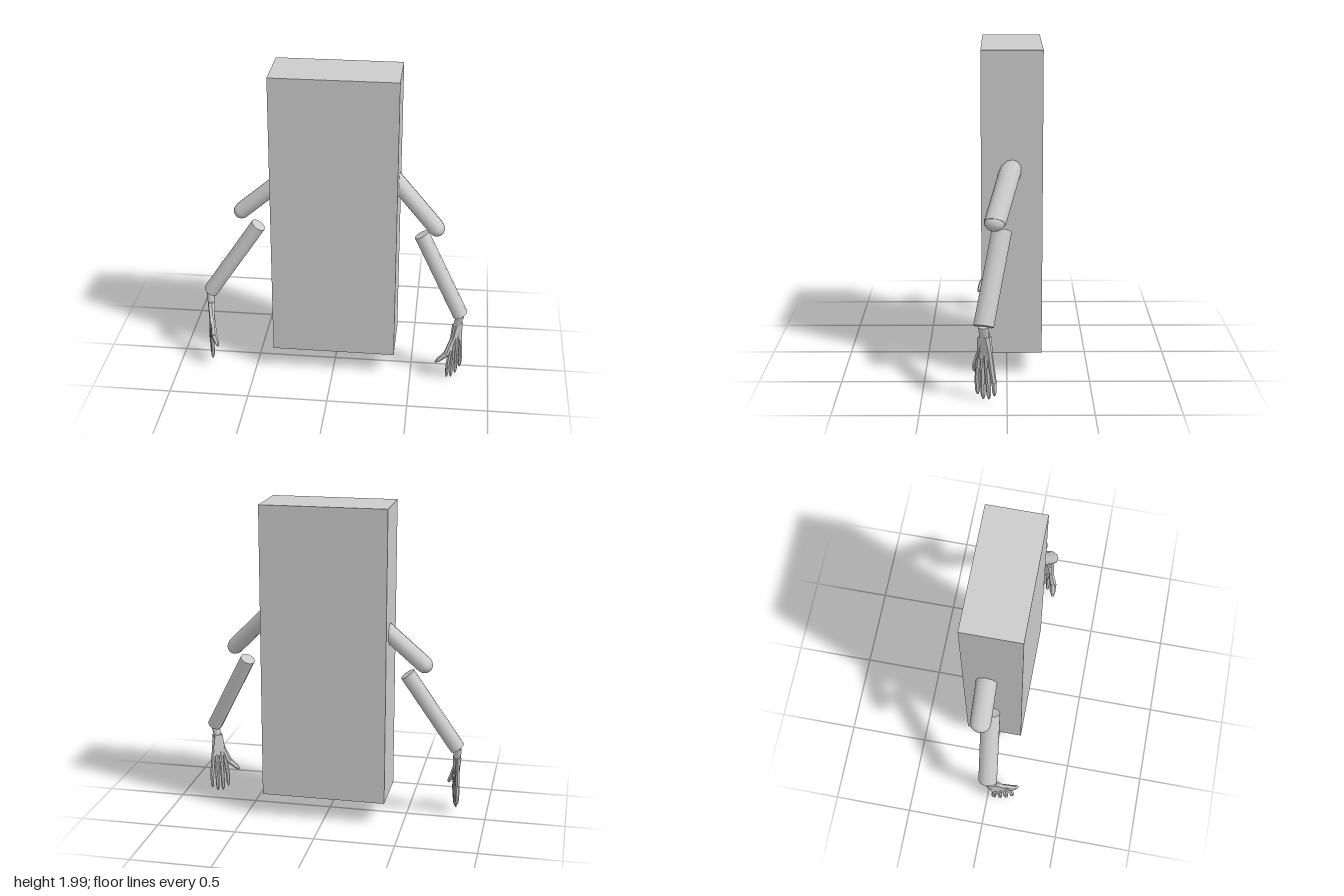
import * as THREE from 'three';
import { ConvexGeometry } from 'three/addons/geometries/ConvexGeometry.js';

const DEPTH = 1.25; // limbs are oval: wider in z than in x
const mat = new THREE.MeshStandardMaterial({ color: 0xcccccc });
const flat = new THREE.MeshStandardMaterial({ color: 0xcccccc, flatShading: true });
const V = (a) => new THREE.Vector3(a[0], a[1], a[2] / DEPTH);
const UP = new THREE.Vector3(0, 1, 0);

function add(parent, name, geometry, material = mat) {
  const mesh = new THREE.Mesh(geometry, material);
  mesh.name = name;
  parent.add(mesh);
  return mesh;
}

// Tapered rod from a to b
function rod(parent, name, a, b, ra, rb, sides, material) {
  const dir = b.clone().sub(a);
  const mesh = add(parent, name, new THREE.CylinderGeometry(rb, ra, dir.length(), sides), material);
  mesh.position.copy(a).add(b).multiplyScalar(0.5);
  mesh.quaternion.setFromUnitVectors(UP, dir.normalize());
  return mesh;
}

// Hand with a fan-shaped palm, four fingers and a thumb
function buildHand(parent, h) {
  const hand = new THREE.Group();
  hand.name = 'hand';
  parent.add(hand);
  const wrist = V(h.wrist);
  const [k0, k1] = h.knuckles.map(V);
  const [t0, t1] = h.tips.map(V);
  rod(hand, 'wrist', V(h.forearmEnd), wrist, 0.026, 0.024, 8);

  // Thin palm between the wrist and the knuckle row
  const across = k1.clone().sub(k0).normalize();
  const normal = across.clone().cross(wrist.clone().sub(k0)).normalize();
  const corners = [];
  for (const s of [-1, 1]) {
    for (const e of [-1, 1]) {
      corners.push(wrist.clone().addScaledVector(across, e * 0.027).addScaledVector(normal, s * 0.02));
      corners.push((e < 0 ? k0 : k1).clone().addScaledVector(UP, 0.05).addScaledVector(normal, s * 0.009));
    }
  }
  add(hand, 'palm', new ConvexGeometry(corners), flat);

  // Metacarpals and fingers, the middle ones longest
  for (let i = 0; i < 4; i++) {
    const t = i / 3;
    const knuckle = k0.clone().lerp(k1, t);
    const tip = t0.clone().lerp(t1, t);
    tip.y -= [0, h.reach, h.reach * 0.9, 0][i];
    const mid = knuckle.clone().lerp(tip, 0.5).addScaledVector(across, (t - 0.5) * 0.01);
    const end = mid.clone().lerp(tip, 0.75);
    rod(hand, 'metacarpal', wrist.clone().addScaledVector(across, (t - 0.5) * 0.04), knuckle, 0.012, 0.014, 6, flat);
    rod(hand, 'fingerBase', knuckle, mid, 0.014, 0.013, 6, flat);
    rod(hand, 'fingerMiddle', mid, end, 0.013, 0.011, 6, flat);
    rod(hand, 'fingerTip', end, tip, 0.011, 0.004, 6, flat);
  }

  // Thumb
  const [a, b, c] = h.thumb.map(V);
  rod(hand, 'thumbBase', a, b, 0.013, 0.019, 6, flat);
  rod(hand, 'thumbMiddle', b, b.clone().lerp(c, 0.7), 0.019, 0.014, 6, flat);
  rod(hand, 'thumbTip', b.clone().lerp(c, 0.7), c, 0.014, 0.006, 6, flat);
}

function buildArm(root, name, p) {
  const arm = new THREE.Group();
  arm.name = name;
  arm.scale.z = DEPTH;
  root.add(arm);
  const elbow = V(p.elbow);
  rod(arm, 'upperArm', V(p.shoulder), elbow, 0.052, 0.052, 12);
  add(arm, 'elbow', new THREE.SphereGeometry(0.049, 16, 12)).position.copy(elbow);
  rod(arm, 'forearm', V(p.forearm[0]), V(p.forearm[1]), 0.048, 0.048, 10);
  buildHand(arm, { ...p.hand, forearmEnd: p.forearm[1] });
}

export function createModel() {
  const model = new THREE.Group();
  model.name = 'figure';

  // Block body
  add(model, 'body', new THREE.BoxGeometry(0.78, 1.85, 0.365)).position.set(0.003, 1.075, -0.03);

  buildArm(model, 'leftArm', {
    shoulder: [0.32, 1.355, -0.045],
    elbow: [0.635, 1.035, 0.07],
    forearm: [[0.543, 0.966, 0.03], [0.806, 0.468, 0.135]],
    hand: {
      wrist: [0.79, 0.4, 0.13],
      knuckles: [[0.75, 0.2, 0.168], [0.813, 0.21, 0.088]],
      tips: [[0.735, 0.025, 0.172], [0.815, 0.045, 0.073]],
      reach: 0.026,
      thumb: [[0.78, 0.35, 0.145], [0.728, 0.2, 0.18], [0.66, 0.14, 0.19]],
    },
  });

  buildArm(model, 'rightArm', {
    shoulder: [-0.32, 1.27, -0.067],
    elbow: [-0.605, 1.025, -0.067],
    forearm: [[-0.493, 0.948, -0.025], [-0.812, 0.473, 0.01]],
    hand: {
      wrist: [-0.81, 0.405, 0.03],
      knuckles: [[-0.785, 0.2, 0.145], [-0.813, 0.2, 0.055]],
      tips: [[-0.785, 0.06, 0.165], [-0.815, 0.075, 0.05]],
      reach: 0.033,
      thumb: [[-0.8, 0.35, 0.06], [-0.772, 0.23, 0.165], [-0.742, 0.165, 0.195]],
    },
  });
  return model;
}
